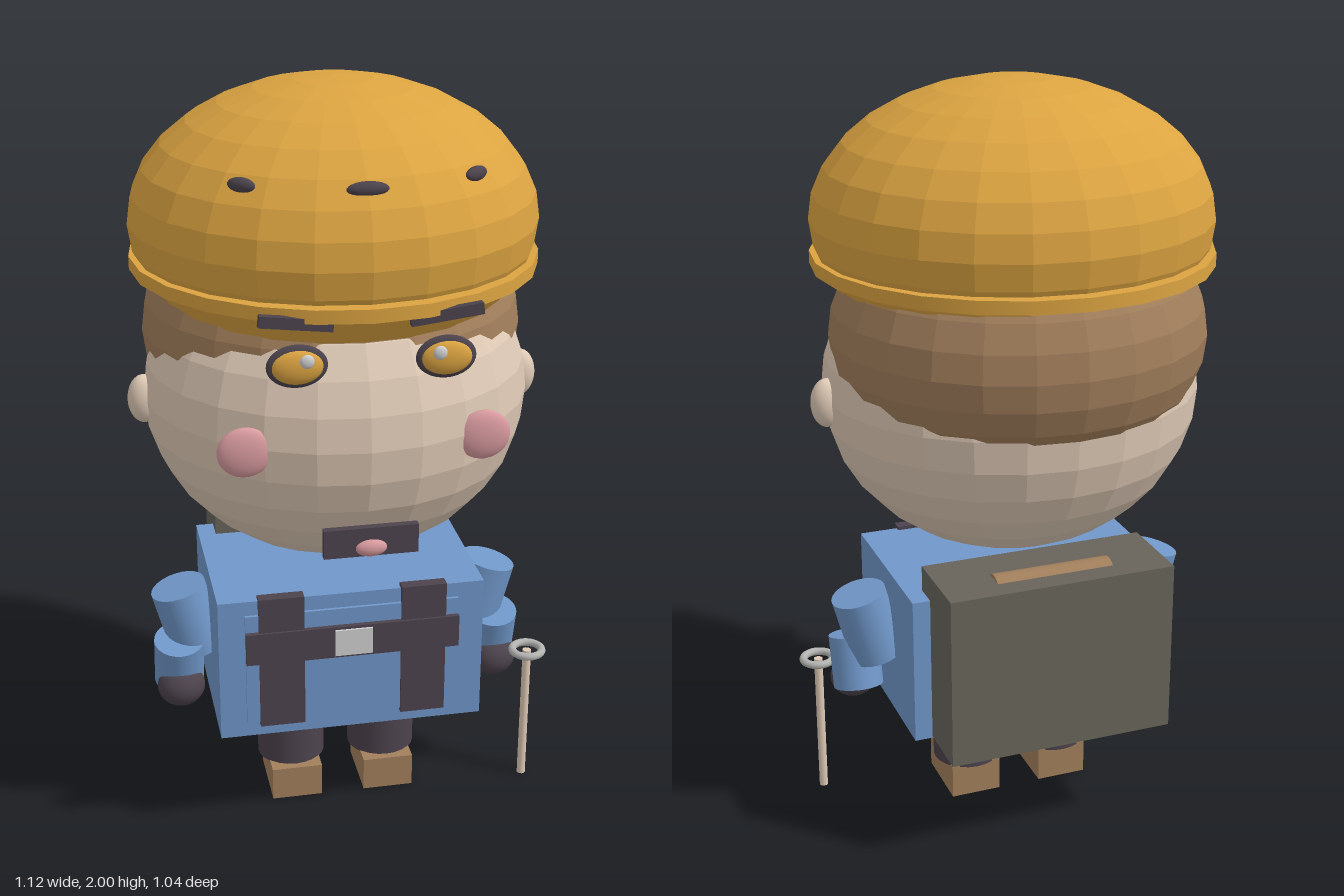
import * as THREE from 'three';

const mat = (name, color) => {
  const m = new THREE.MeshStandardMaterial({ color });
  m.name = name;
  return m;
};

export function createModel() {
  const yellow = mat('hat yellow', 0xdca441);
  const brown = mat('brown', 0xa27f5c);
  const skin = mat('skin', 0xdfcab6);
  const pink = mat('pink', 0xd99ba0);
  const blue = mat('cloth blue', 0x7097c9);
  const dark = mat('dark plum', 0x4c434d);
  const grey = mat('pack grey', 0x68645b);
  const silver = mat('silver', 0xb4b4b2);
  const light = mat('highlight', 0xd0d0d0);

  const model = new THREE.Group();
  const figure = new THREE.Group(); // everything symmetric about the figure's own middle
  figure.name = 'figure';
  figure.position.x = -0.02;
  model.add(figure);

  const add = (name, geo, material, pos, rot = [0, 0, 0], parent = figure) => {
    const mesh = new THREE.Mesh(geo, material);
    mesh.name = name;
    mesh.position.set(...pos);
    mesh.rotation.set(...rot);
    parent.add(mesh);
    return mesh;
  };
  const box = (w, h, d) => new THREE.BoxGeometry(w, h, d);
  const cyl = (r, h, n = 24) => new THREE.CylinderGeometry(r, r, h, n);
  const ball = (rx, ry, rz) => new THREE.SphereGeometry(1, 24, 16).scale(rx, ry, rz);
  const facetBall = (rx, ry, rz) => {
    const g = ball(rx, ry, rz).toNonIndexed();
    g.computeVertexNormals();
    return g;
  };

  // Head, hair and hat: overlapping faceted ellipsoids
  add('head', facetBall(0.5, 0.443, 0.475), skin, [0, 1.2, 0.018]);
  add('hair', facetBall(0.492, 0.37, 0.468), brown, [0, 1.36, -0.042]);
  add('hatDome', facetBall(0.52, 0.35, 0.5), yellow, [0, 1.65, 0]);
  add('hatBrim', cyl(0.52, 0.034), yellow, [0, 1.552, 0]);
  add('hatVentFront', ball(0.05, 0.018, 0.016), dark, [0, 1.825, 0.427]);

  // Moustache and mouth
  add('moustache', box(0.235, 0.075, 0.02), dark, [0, 0.968, 0.487]);
  add('mouth', ball(0.04, 0.023, 0.018), pink, [0, 0.952, 0.494]);

  // Torso with apron panel, belt and buckle
  add('torso', box(0.71, 0.405, 0.475), blue, [0, 0.503, 0.027]);
  add('apron', box(0.57, 0.32, 0.02), blue, [0, 0.505, 0.263]);
  add('belt', box(0.57, 0.09, 0.03), dark, [0, 0.573, 0.272]);
  add('buckle', box(0.1, 0.075, 0.02), light, [0, 0.573, 0.283]);

  // Backpack with a roll sunk into its top
  add('backpack', box(0.615, 0.47, 0.232), grey, [0, 0.54, -0.26]);
  add('packRoll', cyl(0.045, 0.32), brown, [0, 0.742, -0.285], [0, 0, Math.PI / 2]);

  // Mirrored parts
  for (const [side, s] of [['left', 1], ['right', -1]]) {
    add(side + 'HatVent', ball(0.036, 0.018, 0.016), dark, [s * 0.277, 1.825, 0.338], [0, s * 0.67, 0]);
    add(side + 'Ear', ball(0.042, 0.065, 0.036), skin, [s * 0.5, 1.195, 0.024]);
    add(side + 'Cheek', ball(0.068, 0.064, 0.023), pink, [s * 0.294, 1.195, 0.418]);

    // Eye: dark rim, coloured front, small glint
    add(side + 'EyeRim', ball(0.073, 0.053, 0.018), dark, [s * 0.177, 1.432, 0.487]);
    add(side + 'Iris', ball(0.062, 0.043, 0.02), yellow, [s * 0.177, 1.432, 0.493]);
    add(side + 'Glint', ball(0.017, 0.017, 0.008), light, [s * 0.157, 1.45, 0.511]);
    add(side + 'Brow', box(0.175, 0.028, 0.02), dark, [s * 0.178, 1.535, 0.482], [0, 0, s * 0.12]);

    add(side + 'Strap', box(0.12, 0.38, 0.032), dark, [s * 0.19, 0.525, 0.265]);

    // Arm
    add(side + 'UpperArm', cyl(0.075, 0.19), blue, [s * 0.41, 0.55, 0.025], [0, 0, -s * 0.26]);
    add(side + 'Forearm', cyl(0.068, 0.145), blue, [s * 0.44, 0.433, 0.05], [0.26, 0, 0]);
    add(side + 'Hand', ball(0.065, 0.058, 0.06), dark, [s * 0.44, 0.368, 0.08]);

    // Leg
    add(side + 'Leg', cyl(0.094, 0.21), dark, [s * 0.13, 0.197, 0.024]);
    add(side + 'Boot', box(0.14, 0.095, 0.195), brown, [s * 0.13, 0.0475, 0.041]);
  }

  // Walking stick with a flat ring on top
  const stick = new THREE.Group();
  stick.name = 'walkingStick';
  stick.position.set(0.504, 0, 0.14);
  add('stickShaft', cyl(0.012, 0.405, 12), skin, [0, 0.2025, 0], [0, 0, 0], stick);
  add('stickRing', new THREE.TorusGeometry(0.041, 0.011, 10, 28), silver, [0, 0.405, 0], [Math.PI / 2, 0, 0], stick);
  model.add(stick);

  return model;
}
